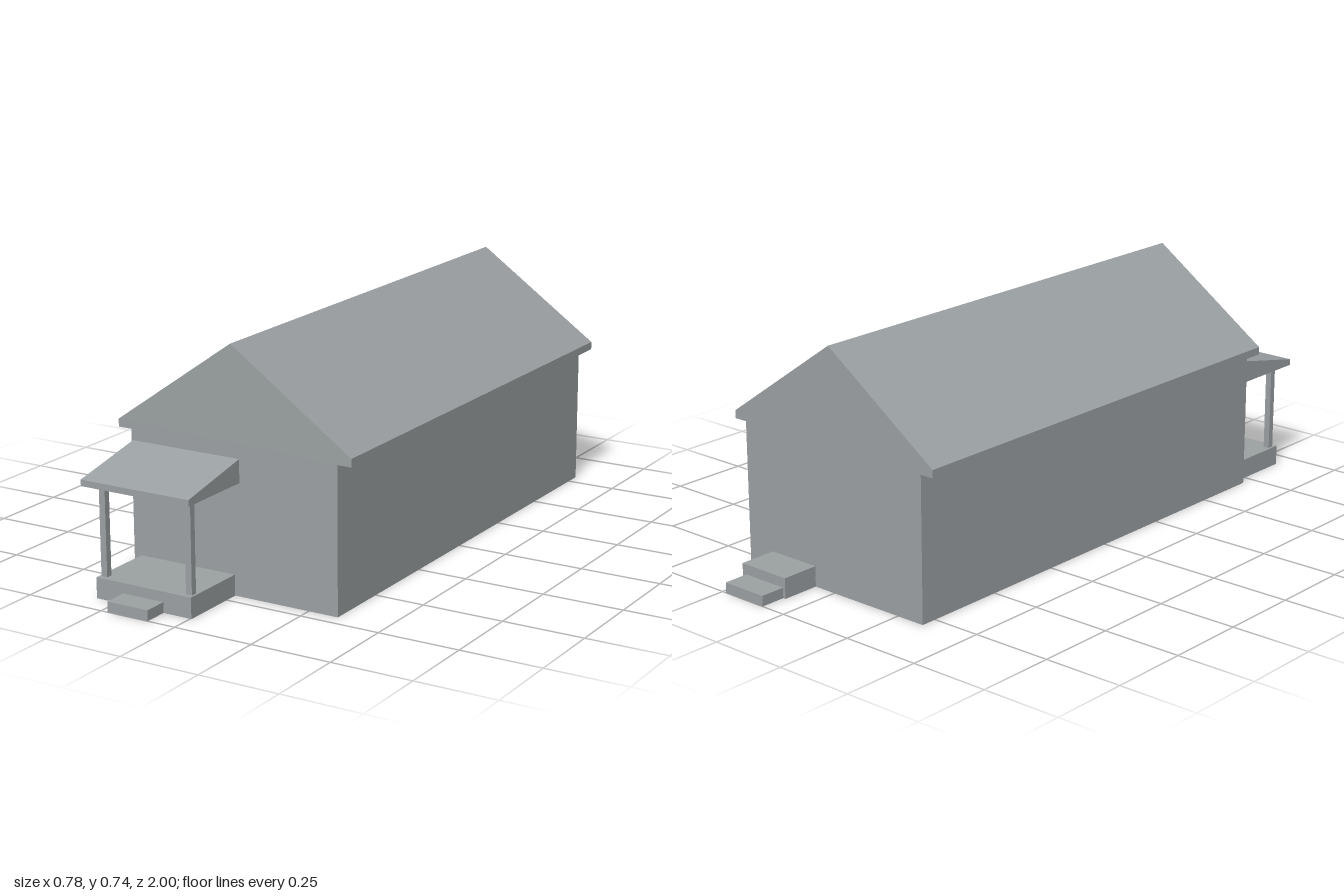
import * as THREE from 'three';

const siding = new THREE.MeshStandardMaterial({ color: 0x9ca1a3, side: THREE.DoubleSide });
siding.name = 'plain grey';

function addMesh(parent, name, geometry) {
  const mesh = new THREE.Mesh(geometry, siding);
  mesh.name = name;
  parent.add(mesh);
  return mesh;
}

// Open sheet: a profile in x,y (anticlockwise) swept from z0 to z1
function sweep(profile, z0, z1) {
  const p = [];
  for (let i = 0; i < profile.length - 1; i++) {
    const a = profile[i], b = profile[i + 1];
    p.push(...a, z1, ...a, z0, ...b, z0, ...a, z1, ...b, z0, ...b, z1);
  }
  const g = new THREE.BufferGeometry();
  g.setAttribute('position', new THREE.Float32BufferAttribute(p, 3));
  g.computeVertexNormals();
  return g;
}

const toPoints = (list) => list.map(([x, y]) => new THREE.Vector2(x, y));

// Flat face at depth z, with optional holes
function face(outline, z, holes = []) {
  const shape = new THREE.Shape(toPoints(outline));
  for (const h of holes) shape.holes.push(new THREE.Path(toPoints(h)));
  return new THREE.ShapeGeometry(shape).translate(0, 0, z);
}

// Outline that runs up, over and down a box standing on the ground
const arch = ({ x0, x1, h }) => [[x1, 0], [x1, h], [x0, h], [x0, 0]];

// House cross-section, from right foot over the ridge to left foot
const section = [
  [0.345, 0], [0.345, 0.441], [0.389, 0.441], [0.389, 0.465], [0, 0.737],
  [-0.389, 0.465], [-0.389, 0.441], [-0.345, 0.441], [-0.345, 0],
];
const FRONT = 0.707, BACK = 0.8;

// Hollow two-tier steps, open to the wall and the ground
function makeSteps(name, wallZ, upper, lower) {
  const g = new THREE.Group();
  g.name = name;
  addMesh(g, 'upperStep', sweep(arch(upper), wallZ, upper.z));
  addMesh(g, 'upperRiser', face([...arch(upper), ...arch(lower).reverse()], upper.z));
  addMesh(g, 'lowerStep', sweep(arch(lower), upper.z, lower.z));
  addMesh(g, 'lowerRiser', face(arch(lower), lower.z));
  return g;
}

export function createModel() {
  const house = new THREE.Group();
  house.name = 'house';

  // Side walls, eaves and roof slopes
  addMesh(house, 'sideWalls', sweep(section.slice(0, 2), -BACK, FRONT));
  addMesh(house, 'sideWalls', sweep(section.slice(-2), -BACK, FRONT));
  addMesh(house, 'roof', sweep(section.slice(1, -1), -BACK, FRONT));

  // Steps, the back ones modelled facing forward and turned round
  const deck = { x0: -0.32, x1: 0.004, h: 0.063, z: 0.925 };
  const deckStep = { x0: -0.227, x1: -0.09, h: 0.032, z: 1 };
  const backStep = { x0: -0.25, x1: -0.075, h: 0.063, z: 0.92 };
  const backLower = { x0: -0.235, x1: -0.084, h: 0.032, z: 1 };
  house.add(makeSteps('porchDeck', FRONT, deck, deckStep));
  const backSteps = makeSteps('backSteps', BACK, backStep, backLower);
  backSteps.rotation.y = Math.PI;
  house.add(backSteps);

  // Gable walls, open behind the steps and the porch roof
  const px0 = -0.34, px1 = 0.024, pBottom = 0.338, pTop = 0.408;
  addMesh(house, 'frontGable', face([...section, ...arch(deck).reverse()], FRONT,
    [[[px0, pBottom], [px0, pTop], [px1, pTop], [px1, pBottom]]]));
  addMesh(house, 'backGable', face([...section, ...arch(backStep).reverse()], BACK))
    .rotation.y = Math.PI;

  // Lean-to porch roof: profile across z, swept along x
  const porch = new THREE.Group();
  porch.name = 'porchRoof';
  const wedge = [[-FRONT, pTop], [-0.956, 0.357], [-0.956, pBottom], [-FRONT, pBottom]];
  addMesh(porch, 'porchSlope', sweep(wedge, px0, px1));
  addMesh(porch, 'porchEnd', face(wedge, px1));
  addMesh(porch, 'porchEnd', face(wedge.map(([u, y]) => [-u, y]), -px0)).rotation.y = Math.PI;
  porch.rotation.y = Math.PI / 2;
  house.add(porch);

  // Porch posts
  const postHeight = pBottom - deck.h;
  for (const x of [-0.303, -0.013]) {
    addMesh(house, 'porchPost', new THREE.BoxGeometry(0.02, postHeight, 0.02))
      .position.set(x, deck.h + postHeight / 2, 0.9);
  }
  return house;
}
